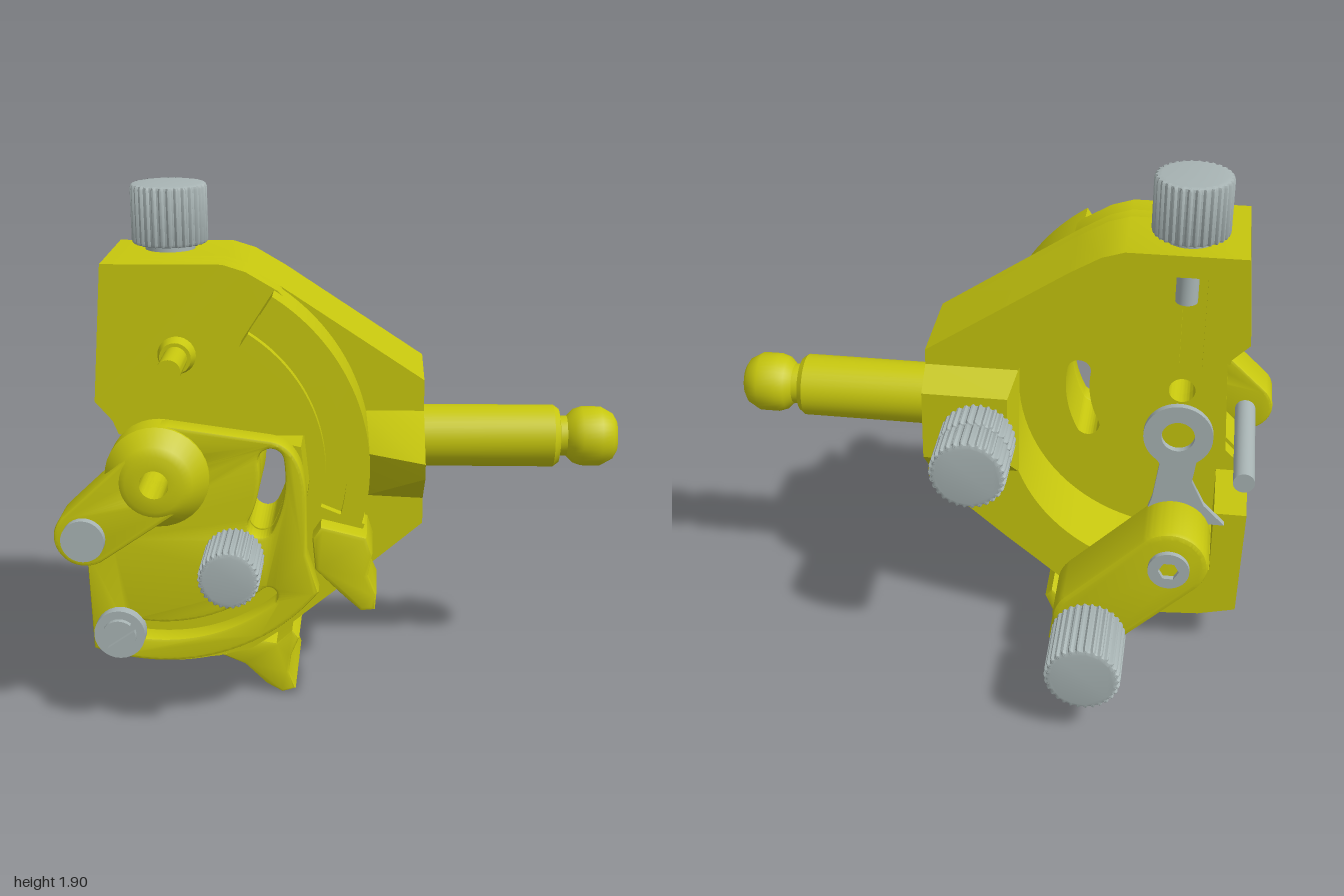
import * as THREE from 'three';
import { ConvexGeometry } from 'three/addons/geometries/ConvexGeometry.js';
import { toCreasedNormals } from 'three/addons/utils/BufferGeometryUtils.js';

const yellow = new THREE.MeshStandardMaterial({ color: 0xc6c60e });
const grey = new THREE.MeshStandardMaterial({ color: 0xa8b4b4 });
const HX = -0.64, HY = 0.97; // hub axis shared by bore, dial and rails
const rad = THREE.MathUtils.degToRad;

function add(group, name, geometry, material) {
  const mesh = new THREE.Mesh(toCreasedNormals(geometry, 0.6), material);
  mesh.name = name;
  group.add(mesh);
  return mesh;
}

const poly = (pts) => new THREE.Shape(pts.map(([x, y]) => new THREE.Vector2(x, y)));

// Extrusion between two z planes, optional bevel kept inside the outline
function slab(shape, z0, z1, bevel = 0) {
  const g = new THREE.ExtrudeGeometry(shape, {
    depth: z1 - z0 - 2 * bevel, bevelEnabled: bevel > 0, bevelSize: bevel, bevelThickness: bevel,
    bevelOffset: -bevel, bevelSegments: 2, curveSegments: 28,
  });
  return g.translate(0, 0, z0 + bevel);
}

// Cylinder lying along z
function pin(x, y, z0, z1, r, r2 = r, sides = 28) {
  return new THREE.CylinderGeometry(r2, r, z1 - z0, sides).rotateX(Math.PI / 2).translate(x, y, (z0 + z1) / 2);
}

// Curved band about the hub, with flat or round ends
function band(r0, r1, a0, a1, round = false) {
  const s = new THREE.Shape(), m = (r0 + r1) / 2, w = (r1 - r0) / 2, A = rad(a0), B = rad(a1);
  s.absarc(HX, HY, r1, A, B, false);
  if (round) s.absarc(HX + m * Math.cos(B), HY + m * Math.sin(B), w, B, B + Math.PI, false);
  s.absarc(HX, HY, r0, B, A, true);
  if (round) s.absarc(HX + m * Math.cos(A), HY + m * Math.sin(A), w, A + Math.PI, A + 2 * Math.PI, false);
  return s;
}

// Outline around two circles of different size
function link(x1, y1, r1, x2, y2, r2) {
  const t = Math.atan2(y2 - y1, x2 - x1), k = Math.acos((r1 - r2) / Math.hypot(x2 - x1, y2 - y1));
  const s = new THREE.Shape();
  s.absarc(x1, y1, r1, t + k, t - k + 2 * Math.PI, false);
  s.absarc(x2, y2, r2, t - k, t + k, false);
  return s;
}

const circle = (x, y, r) => new THREE.Path().absarc(x, y, r, 0, Math.PI * 2, false);

function pierce(shape) {
  shape.holes.push(circle(HX, HY, 0.05), band(0.35, 0.44, -27, 8, true));
  return shape;
}

// Knurled grip along +z
function knurl(r, depth) {
  const n = 30, pts = [];
  for (let i = 0; i < n * 4; i++) {
    const a = (i / (n * 4)) * Math.PI * 2, q = i % 4 < 2 ? r : r * 0.94;
    pts.push([q * Math.cos(a), q * Math.sin(a)]);
  }
  return slab(poly(pts), 0, depth, 0.014);
}

function knob(group, name, r, bands, shaft, shaftR) {
  const k = new THREE.Group();
  k.name = name;
  bands.forEach(([a, b]) => add(k, 'knurledGrip', knurl(r, b - a).translate(0, 0, a), grey));
  add(k, 'shaft', pin(0, 0, -shaft, bands[bands.length - 1][0] + 0.05, shaftR), grey);
  group.add(k);
  return k;
}

export function createModel() {
  const g = new THREE.Group();
  g.name = 'sightingInstrument';

  // Housing: thick rim around an open-backed bore, closed by a front wall
  const outer = [[-0.84, 1.67], [-0.42, 1.67], [-0.34, 1.645], [-0.23, 1.58], [0.28, 1.24], [0.28, 0.7], [0, 0.46],
    [-0.22, 0.28], [-0.35, 0.19], [-0.48, 0.155], [-0.62, 0.145], [-0.76, 0.155], [-0.9, 0.19], [-0.91, 0.63]];
  const rim = poly([...outer, [-0.79, 0.63], [-0.79, 0.37]]);
  rim.absarc(HX, HY, 0.62, Math.atan2(-0.6, -0.15), Math.atan2(0.587, -0.2), false);
  add(g, 'housingRim', slab(rim, -0.15, 0.15), yellow);
  const wall = pierce(poly([...outer, [-0.82, 0.72], [-0.8, 1.1], [-0.88, 1.18]]));
  add(g, 'frontWall', slab(wall, 0.15, 0.21), yellow);
  add(g, 'upperFace', slab(poly([[-0.84, 1.67], [-0.42, 1.67], [-0.34, 1.645], [-0.23, 1.58], [-0.04, 1.38],
    [0.04, 1.2], [-0.1, 1.06], [-0.8, 1.06], [-0.82, 1.11], [-0.88, 1.18]]), 0.21, 0.3), yellow);
  for (const x of [-0.73, -0.6])
    add(g, 'innerGuide', new THREE.BoxGeometry(0.045, 0.46, 0.07).translate(x, 1.33, 0.12), yellow);

  // Curved rails on the front
  add(g, 'railBed', slab(band(0.52, 0.73, -18, 57), 0.21, 0.365), yellow);
  add(g, 'innerRail', slab(band(0.52, 0.575, -18, 57), 0.36, 0.4), yellow);
  add(g, 'outerRail', slab(band(0.65, 0.73, -18, 57), 0.36, 0.4), yellow);

  // Dial: base sector with a slotted plate on it
  const base = new THREE.Shape();
  base.absarc(HX, HY, 0.74, rad(-111), rad(-16), false);
  [[-0.13, 0.85], [-0.15, 1.05], [-0.79, 1.05], [-0.81, 0.75], [-0.9, 0.66]].forEach((p) => base.lineTo(...p));
  add(g, 'dialBase', slab(pierce(base), 0.21, 0.4), yellow);
  const plate = new THREE.Shape();
  plate.absarc(HX, HY, 0.7, rad(-111), rad(-38), false);
  plate.lineTo(-0.13, 0.68);
  plate.lineTo(-0.13, 0.9);
  plate.quadraticCurveTo(-0.14, 1.08, -0.25, 1.1);
  plate.lineTo(-0.6, 1.15);
  plate.quadraticCurveTo(-0.78, 1.15, -0.82, 1);
  plate.lineTo(-0.82, 0.74);
  plate.lineTo(-0.9, 0.68);
  pierce(plate).holes.push(band(0.55, 0.615, -98, -50, true));
  add(g, 'dialPlate', slab(plate, 0.4, 0.49, 0.012), yellow);

  // Hub and crank with its cross rod
  const hub = [[0.05, 0.4], [0.18, 0.4], [0.18, 0.5], [0.13, 0.565], [0.1, 0.58], [0.05, 0.58], [0.05, 0.4]];
  add(g, 'hub', new THREE.LatheGeometry(hub.map((p) => new THREE.Vector2(...p)), 36)
    .rotateX(Math.PI / 2).translate(HX, HY, 0), yellow);
  const crank = link(HX, HY, 0.13, -0.89, 0.77, 0.105);
  crank.holes.push(circle(HX, HY, 0.05));
  add(g, 'crank', slab(crank, 0.4, 0.57, 0.012), yellow);
  add(g, 'crossRod', pin(-0.89, 0.76, -0.13, 0.58, 0.04), grey);
  add(g, 'crossRodHead', pin(-0.89, 0.77, 0.56, 0.6, 0.075), grey);

  // Small front pin
  add(g, 'pinCollar', pin(-0.585, 1.35, 0.29, 0.345, 0.07, 0.055), yellow);
  add(g, 'frontPin', pin(-0.585, 1.35, 0.3, 0.52, 0.042), yellow);

  // Slotted screw on the dial
  const cap = new THREE.Shape();
  cap.absarc(0, 0, 0.06, rad(12), rad(168), false);
  for (const turn of [0, Math.PI])
    add(g, 'slottedScrewHalf', slab(cap, 0.52, 0.55).rotateZ(turn + 0.6).translate(-0.79, 0.39, 0), grey);
  add(g, 'screwHead', pin(-0.79, 0.39, 0.48, 0.53, 0.09), grey);

  // Index clip riding on the rail end
  add(g, 'indexClip', slab(poly([[-0.1, 0.62], [0, 0.52], [0.06, 0.465], [0.11, 0.47], [0.115, 0.53], [0.085, 0.6],
    [0.1, 0.68], [0.08, 0.745], [-0.08, 0.785], [-0.11, 0.74]]), 0.24, 0.48, 0.015), yellow);

  // Side stem with ball end, its rear boss and front fin
  const stem = [[0, 0.2], [0.115, 0.2], [0.115, 0.765], [0.1, 0.785], [0.075, 0.79], [0.075, 0.815], [0.1, 0.84],
    [0.11, 0.87], [0.11, 0.94], [0.085, 0.985], [0.06, 1], [0, 1]];
  add(g, 'sideStem', new THREE.LatheGeometry(stem.map((p) => new THREE.Vector2(...p)), 36)
    .rotateZ(-Math.PI / 2).translate(0, HY, 0), yellow);
  const v = (x, y, z) => new THREE.Vector3(x, y, z);
  const boss = [], fin = [];
  for (const x of [-0.06, 0.28])
    boss.push(v(x, 0.74, -0.14), v(x + (x < 0 ? 0.03 : 0), 0.84, -0.24), v(x + (x < 0 ? 0.03 : 0), 1.11, -0.24), v(x, 1.19, -0.14));
  add(g, 'rearBoss', new ConvexGeometry(boss), yellow);
  fin.push(v(0.28, 0.79, 0.2), v(0.28, 1.13, 0.2), v(0.28, 1.03, 0.52), v(0.28, 0.97, 0.5),
    v(0.07, 0.8, 0.2), v(0.07, 1.13, 0.2), v(0.07, 1.02, 0.37));
  add(g, 'frontFin', new ConvexGeometry(fin), yellow);

  // Rear arm, socket screw and thumb lever
  add(g, 'rearArm', slab(link(-0.64, 0.55, 0.141, -0.36, 0.27, 0.14), -0.395, -0.15, 0.02), yellow);
  const socket = new THREE.Shape().absarc(-0.64, 0.545, 0.075, 0, Math.PI * 2, false);
  const hex = [0, 1, 2, 3, 4, 5].map((i) =>
    [-0.64 + 0.038 * Math.cos(i * Math.PI / 3), 0.545 + 0.038 * Math.sin(i * Math.PI / 3)]);
  socket.holes.push(poly(hex));
  add(g, 'socketScrew', slab(socket, -0.415, -0.38), grey);
  add(g, 'thumbLever', slab(poly([[-0.47, 0.16], [-0.38, 0.12], [-0.3, 0.04], [-0.24, 0.005], [-0.19, 0.02],
    [-0.215, 0.09], [-0.205, 0.16], [-0.175, 0.23], [-0.2, 0.265], [-0.26, 0.21], [-0.32, 0.22]]), -0.22, 0.21, 0.01), yellow);

  // Rear eyelet plate
  const eyelet = poly([[-0.83, 0.6], [-0.53, 0.6], [-0.56, 0.7], [-0.58, 0.85]]);
  eyelet.absarc(HX, HY, 0.125, rad(-55), rad(235), false);
  eyelet.lineTo(-0.7, 0.78);
  eyelet.lineTo(-0.75, 0.68);
  eyelet.holes.push(circle(HX, HY, 0.06));
  add(g, 'eyeletPlate', slab(eyelet, -0.18, -0.155), grey);

  // Knurled knobs
  const top = knob(g, 'topKnob', 0.137, [[0, 0.215]], 0.06, 0.09);
  top.rotation.x = -Math.PI / 2;
  top.position.set(-0.635, 1.69, 0);
  add(g, 'topScrewTip', new THREE.CylinderGeometry(0.04, 0.04, 0.25, 20).translate(-0.635, 1.55, 0), grey);
  knob(g, 'frontKnob', 0.105, [[0, 0.235]], 0.06, 0.06).position.set(-0.38, 0.685, 0.495);
  const rear = knob(g, 'rearArmKnob', 0.137, [[0, 0.27]], 0.1, 0.065);
  rear.rotation.y = Math.PI;
  rear.position.set(-0.365, 0.275, -0.46);
  const side = knob(g, 'sideKnob', 0.137, [[0, 0.13], [0.13, 0.27]], 0.06, 0.06);
  side.rotation.y = Math.PI;
  side.position.set(0.07, 0.965, -0.26);

  return g;
}
